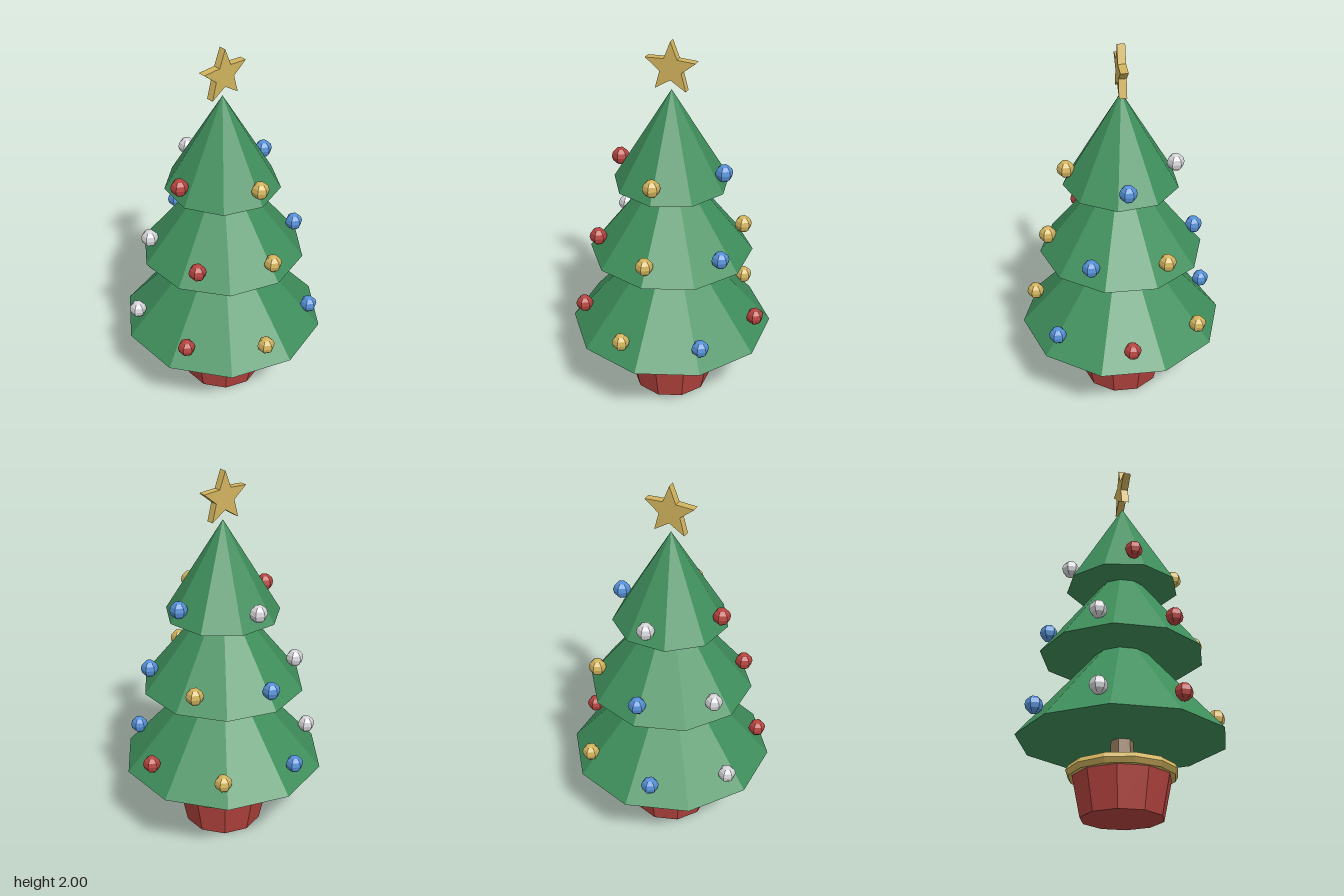
import * as THREE from 'three';

const mat = (name, color) => Object.assign(new THREE.MeshStandardMaterial({ color }), { name });

// Faceted look: unshared vertices with face normals
function flat(geometry) {
  const g = geometry.index ? geometry.toNonIndexed() : geometry;
  g.computeVertexNormals();
  return g;
}

export function createModel() {
  const tree = new THREE.Group();
  tree.name = 'decoratedTree';
  const green = mat('needleGreen', 0x3f8f5c);
  const brown = mat('barkBrown', 0x927658);
  const red = mat('red', 0xb5443f);
  const gold = mat('gold', 0xd2b45e);
  const blue = mat('blue', 0x5590d6);
  const silver = mat('silver', 0xd6d6da);

  const add = (name, geometry, material, x = 0, y = 0, z = 0, parent = tree) => {
    const mesh = new THREE.Mesh(geometry, material);
    mesh.name = name;
    mesh.position.set(x, y, z);
    parent.add(mesh);
  };

  // Pot with a faceted rim
  add('pot', flat(new THREE.CylinderGeometry(0.255, 0.21, 0.22, 10)), red, 0, 0.11, 0);
  add('potRim', flat(new THREE.TorusGeometry(0.255, 0.03, 6, 12).rotateX(Math.PI / 2)), gold, 0, 0.23, 0);

  // Trunk
  add('trunk', flat(new THREE.CylinderGeometry(0.055, 0.065, 0.3, 6)), brown, 0, 0.33, 0);

  // Foliage tiers, each with a ring of baubles
  const tiers = [
    { name: 'lowerTier', y: 0.395, r: 0.54, h: 0.62, sides: 10, ringY: 0.515, ringR: 0.475, count: 7, start: Math.PI * 2 / 7 },
    { name: 'middleTier', y: 0.85, r: 0.43, h: 0.55, sides: 10, ringY: 0.953, ringR: 0.387, count: 6, start: Math.PI / 6 },
    { name: 'upperTier', y: 1.25, r: 0.3, h: 0.5, sides: 9, ringY: 1.34, ringR: 0.281, count: 4, start: 0 },
  ];
  const baubleColors = [blue, gold, red, silver];
  const bauble = flat(new THREE.SphereGeometry(0.046, 6, 6).rotateY(Math.PI / 2));
  for (const t of tiers) {
    add(t.name, flat(new THREE.ConeGeometry(t.r, t.h, t.sides)), green, 0, t.y + t.h / 2, 0);
    const ring = new THREE.Group();
    ring.name = t.name + 'Baubles';
    tree.add(ring);
    for (let i = 0; i < t.count; i++) {
      const a = t.start + (i / t.count) * Math.PI * 2;
      add('bauble', bauble, baubleColors[i % 4], Math.cos(a) * t.ringR, t.ringY, Math.sin(a) * t.ringR, ring);
    }
  }

  // Five-pointed star on top
  const points = [];
  for (let i = 0; i < 10; i++) {
    const a = Math.PI / 2 + (i * Math.PI) / 5;
    const r = i % 2 ? 0.059 : 0.137;
    points.push(new THREE.Vector2(Math.cos(a) * r, Math.sin(a) * r));
  }
  const star = new THREE.ExtrudeGeometry(new THREE.Shape(points), { depth: 0.04, bevelEnabled: false });
  add('star', flat(star), gold, 0, 1.863, -0.02);

  return tree;
}
